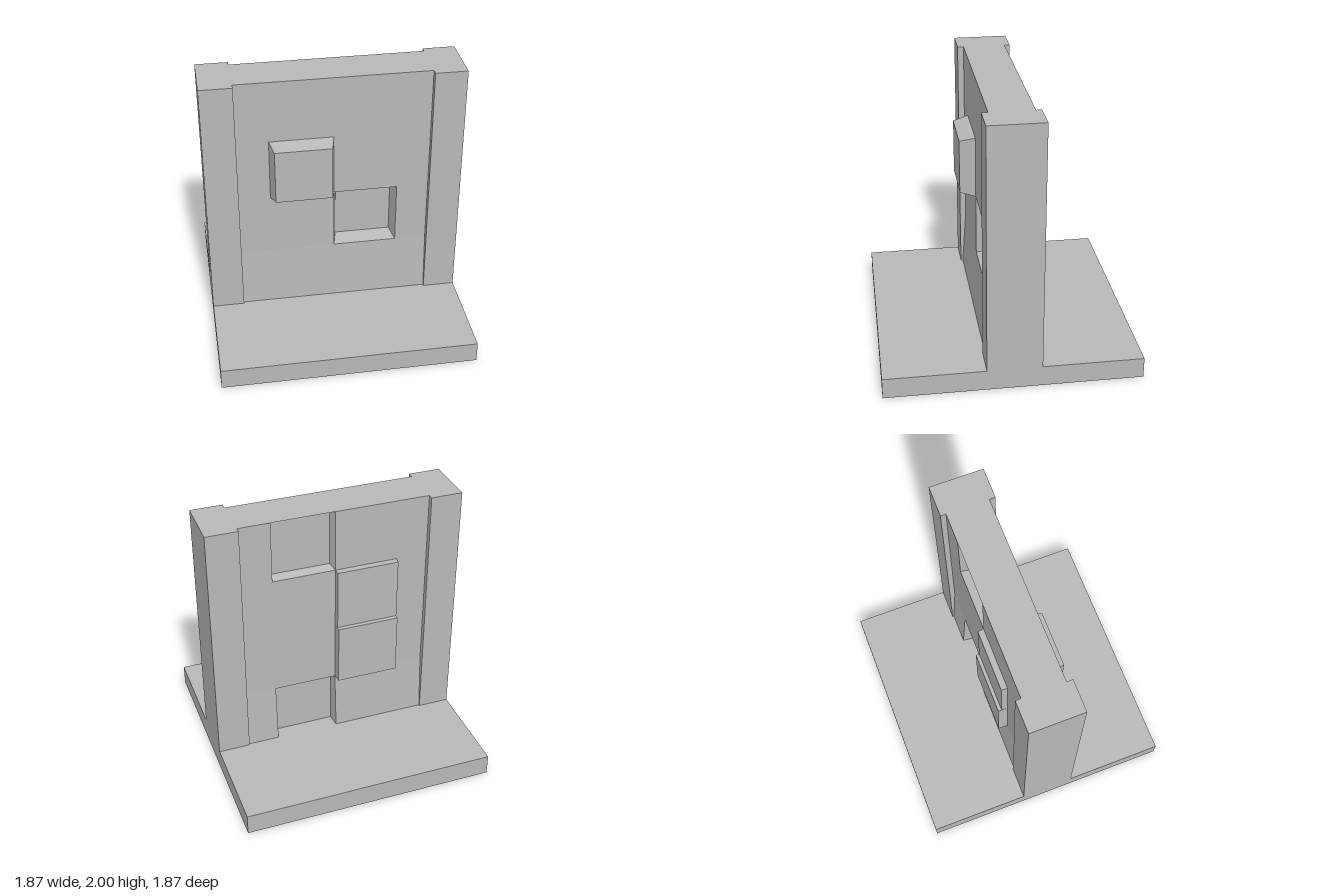
import * as THREE from 'three';

const COLS = [-0.7, -0.467, 0, 0.467, 0.7];
const ROWS = [0.14, 0.6, 1.067, 1.533, 2];

// A grid of cells facing +z. Each relief [col, row, depth, inset] is pushed
// out (depth > 0) or sunk in (depth < 0), with sides that taper by inset.
function reliefPanel(z0, reliefs) {
  const pos = [];
  const quad = (a, b, c, d) => pos.push(...a, ...b, ...c, ...a, ...c, ...d);
  for (let i = 0; i < 4; i++) {
    for (let j = 0; j < 4; j++) {
      const [x0, x1, y0, y1] = [COLS[i], COLS[i + 1], ROWS[j], ROWS[j + 1]];
      const foot = j === 0 ? z0 + 0.03 : z0; // the bottom row leans outwards
      const rim = [[x0, y0, foot], [x1, y0, foot], [x1, y1, z0], [x0, y1, z0]];
      const relief = reliefs.find(([c, r]) => c === i && r === j);
      if (!relief) {
        quad(...rim);
        continue;
      }
      const [, , depth, t] = relief;
      const z = z0 + depth;
      const low = j === 0 ? y0 : y0 + t;
      const cap = [[x0 + t, low, z], [x1 - t, low, z], [x1 - t, y1 - t, z], [x0 + t, y1 - t, z]];
      quad(...cap);
      for (let k = 0; k < 4; k++) {
        const n = (k + 1) % 4;
        quad(rim[k], rim[n], cap[n], cap[k]);
      }
    }
  }
  const geo = new THREE.BufferGeometry();
  geo.setAttribute('position', new THREE.Float32BufferAttribute(pos, 3));
  geo.computeVertexNormals();
  return geo;
}

export function createModel() {
  const model = new THREE.Group();
  const grey = new THREE.MeshStandardMaterial({ color: 0xb8b8b8 });
  grey.name = 'plain grey';

  const add = (name, geo, x = 0, y = 0, z = 0) => {
    const mesh = new THREE.Mesh(geo, grey);
    mesh.name = name;
    mesh.position.set(x, y, z);
    model.add(mesh);
    return mesh;
  };

  // Square base slab
  add('base', new THREE.BoxGeometry(1.87, 0.155, 1.87), 0, 0.0775, 0);

  // Thick posts at both ends of the wall
  for (const [name, s] of [['leftPost', 1], ['rightPost', -1]]) {
    add(name, new THREE.BoxGeometry(0.235, 1.86, 0.4), s * 0.8175, 1.07, 0);
  }

  // Top of the thinner wall between the posts
  add('wallTop', new THREE.PlaneGeometry(1.4, 0.315).rotateX(-Math.PI / 2), 0, 2, -0.0025);

  // Front: one raised block and one pocket
  add('frontPanel', reliefPanel(0.155, [[1, 2, 0.115, 0.028], [2, 1, -0.115, 0.028]]));

  // Back: two raised blocks stacked between two pockets
  const back = add('backPanel', reliefPanel(0.16, [
    [2, 2, 0.045, 0.003], [2, 1, 0.07, 0.003],
    [1, 3, -0.07, 0.02], [1, 0, -0.07, 0.01],
  ]));
  back.rotation.y = Math.PI;

  return model;
}
